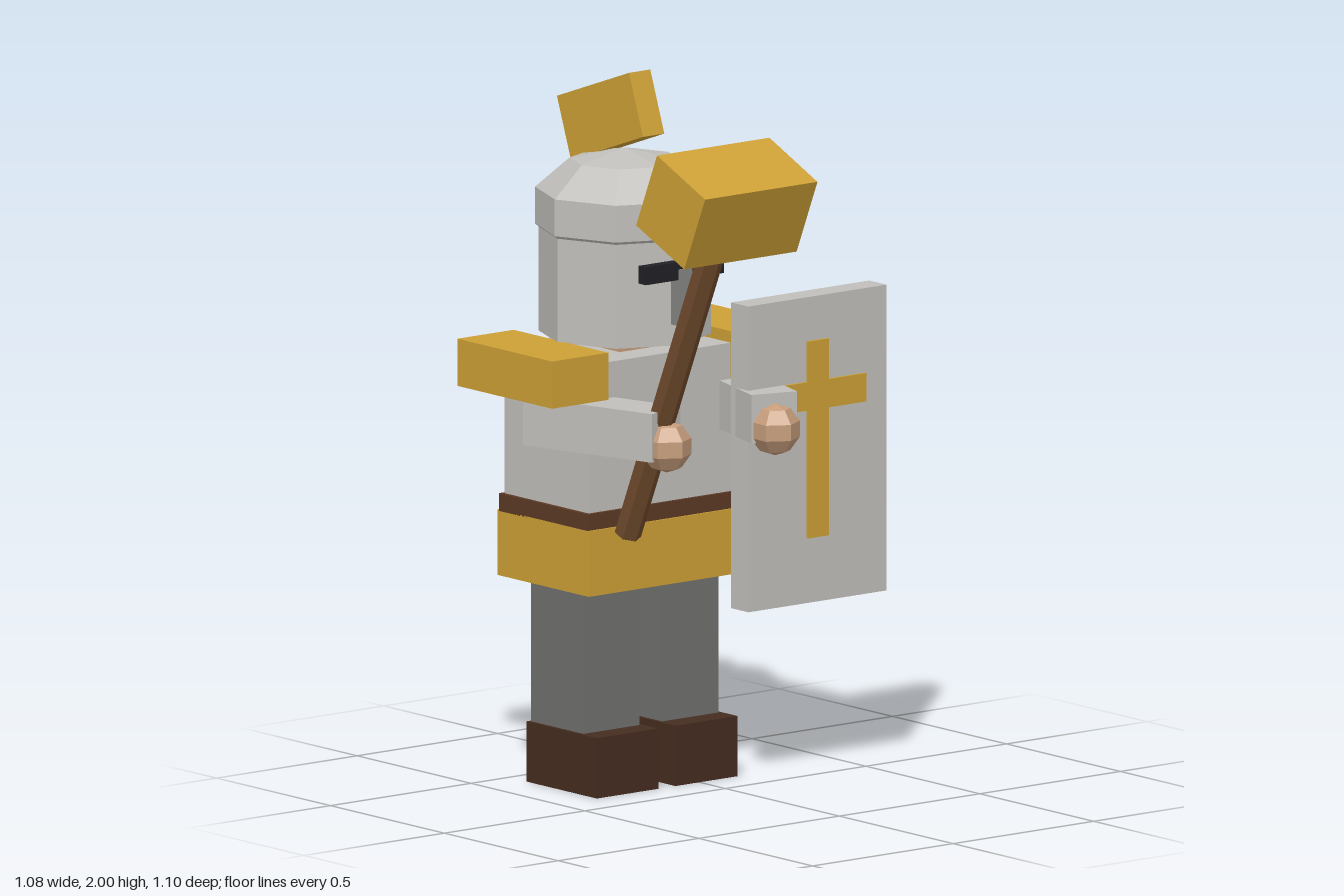
import * as THREE from 'three';

const mat = (color) => new THREE.MeshStandardMaterial({ color, flatShading: true });
const M = {
  steel: mat(0xc0bfbb), chain: mat(0x70706e), nose: mat(0x858583), gold: mat(0xcda036),
  boot: mat(0x452c1f), belt: mat(0x5c3a26), wood: mat(0x704b2c), skin: mat(0xc69d7c), black: mat(0x212126),
};

// Body axis
const CX = -0.115, CZ = -0.3;

export function createModel() {
  const root = new THREE.Group();
  root.name = 'knight';

  const add = (name, geometry, material, x, y, z, parent = root) => {
    const mesh = new THREE.Mesh(geometry, material);
    mesh.name = name;
    mesh.position.set(x, y, z);
    parent.add(mesh);
    return mesh;
  };
  const box = (name, material, w, h, d, x, y, z, parent) =>
    add(name, new THREE.BoxGeometry(w, h, d), material, x, y, z, parent);

  // Torso, belt, skirt, neck
  box('skirt', M.gold, 0.58, 0.185, 0.4, CX, 0.668, CZ);
  box('belt', M.belt, 0.58, 0.05, 0.39, CX, 0.782, CZ);
  box('torso', M.steel, 0.556, 0.43, 0.37, CX, 1.01, CZ);
  box('neck', M.skin, 0.19, 0.1, 0.19, CX, 1.25, CZ);

  // Paired limbs: s = -1 is the right side, +1 the left
  for (const s of [-1, 1]) {
    const side = s < 0 ? 'right' : 'left';
    box(side + 'Boot', M.boot, 0.22, 0.17, 0.308, CX + s * 0.14, 0.085, -0.268);
    box(side + 'Leg', M.chain, 0.2, 0.43, 0.23, CX + s * 0.14, 0.38, CZ);
    box(side + 'ShoulderPlate', M.gold, 0.2, 0.133, 0.416, CX + s * 0.327, 1.191, CZ);
    const arm = box(side + 'Arm', M.steel, 0.137, 0.137, 0.435, CX + s * 0.252, 1.055, -0.09);
    arm.rotation.y = -s * 0.28;
    const hand = add(side + 'Hand', new THREE.SphereGeometry(0.073, 6, 5), M.skin, CX + s * 0.193, 1.022, 0.122);
    hand.rotation.y = Math.PI / 2;
  }

  // Helmet with domed cap, visor slit, nose guard and tilted crest
  const helmet = new THREE.Group();
  helmet.name = 'helmet';
  root.add(helmet);
  add('helmetWall', new THREE.CylinderGeometry(0.24, 0.24, 0.37, 8), M.steel, CX, 1.44, CZ, helmet);
  const dome = new THREE.SphereGeometry(0.262, 8, 5);
  dome.scale(1, 0.64, 1);
  add('helmetDome', dome, M.steel, CX, 1.608, CZ, helmet);
  box('visorSlit', M.black, 0.278, 0.05, 0.032, CX, 1.47, -0.052, helmet);
  box('noseGuard', M.nose, 0.044, 0.16, 0.045, CX, 1.395, -0.053, helmet);
  box('crest', M.gold, 0.076, 0.182, 0.336, CX, 1.858, -0.362, helmet).rotation.x = -0.345;

  // War hammer, leaning forward out of the right hand
  const hammer = new THREE.Group();
  hammer.name = 'hammer';
  hammer.position.set(-0.315, 1.75, 0.395);
  hammer.rotation.x = 0.41;
  root.add(hammer);
  add('hammerHandle', new THREE.CylinderGeometry(0.038, 0.038, 1.09, 6), M.wood, 0, -0.545, 0, hammer);
  box('hammerHead', M.gold, 0.4, 0.23, 0.23, 0, 0, 0, hammer);

  // Shield with a raised cross
  const shield = new THREE.Group();
  shield.name = 'shield';
  root.add(shield);
  box('shieldPlate', M.steel, 0.492, 0.862, 0.076, 0.288, 0.93, 0.011, shield);
  box('crossUpright', M.gold, 0.074, 0.555, 0.03, 0.286, 0.96, 0.042, shield);
  for (const s of [-1, 1])
    box('crossArm', M.gold, 0.132, 0.08, 0.03, 0.286 + s * 0.103, 1.083, 0.042, shield);

  return root;
}
